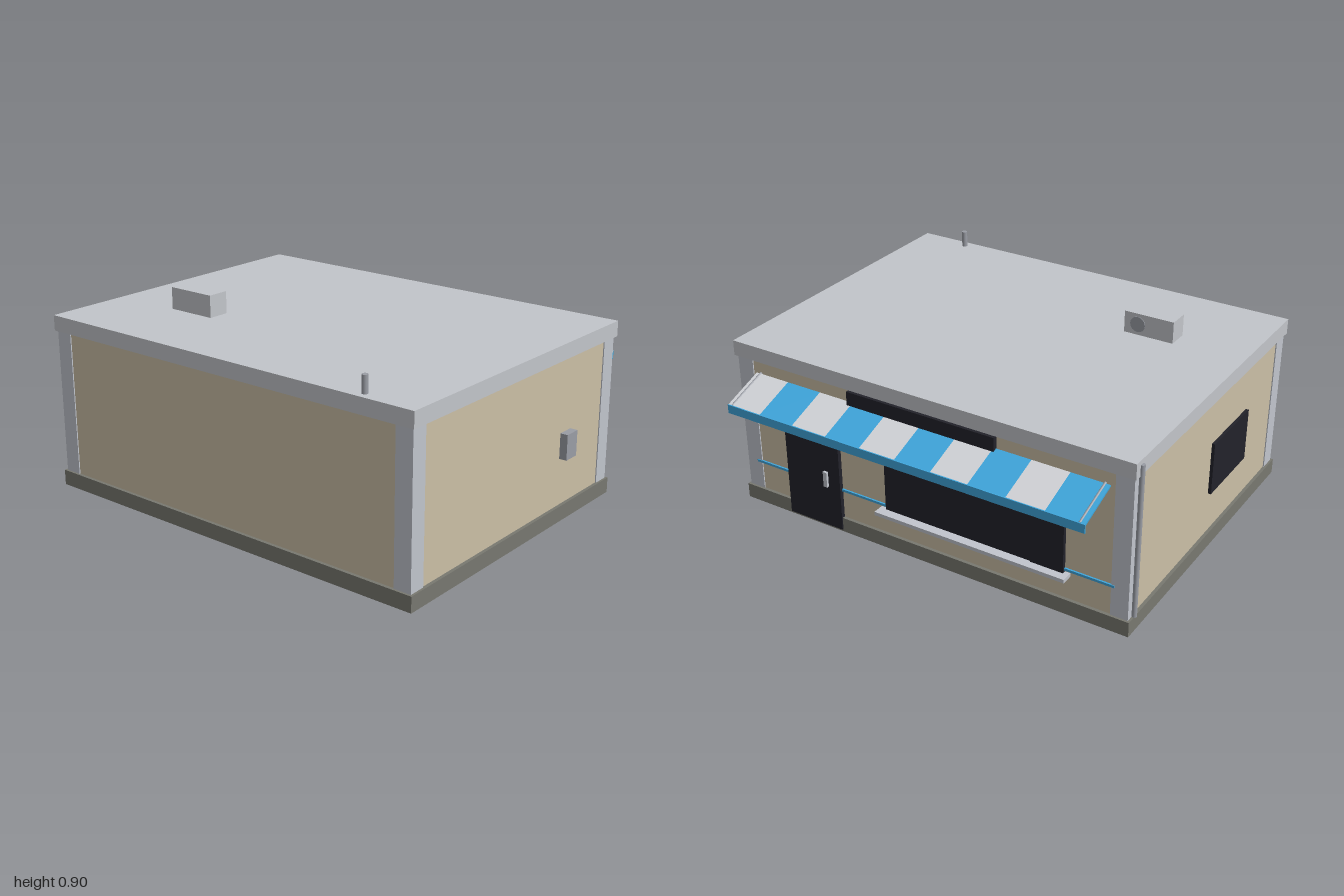
import * as THREE from 'three';

export function createModel() {
  const model = new THREE.Group();
  model.name = 'kiosk';

  const mat = (name, color) => {
    const m = new THREE.MeshStandardMaterial({ color });
    m.name = name;
    return m;
  };
  const roofGrey = mat('roofGrey', 0xc2c5ca);
  const pillarGrey = mat('pillarGrey', 0xc1c5cd);
  const wallBeige = mat('wallBeige', 0xcbbfa6);
  const plinthGrey = mat('plinthGrey', 0x787870);
  const darkPanel = mat('darkPanel', 0x22222a);
  const blue = mat('blue', 0x3fa7dd);
  const canvasWhite = mat('canvasWhite', 0xd3d5d9);
  const metal = mat('metal', 0x9a9da5);

  const add = (name, geo, material, parent = model) => {
    const mesh = new THREE.Mesh(geo, material);
    mesh.name = name;
    parent.add(mesh);
    return mesh;
  };
  // Box given by its limits on each axis
  const box = (name, material, x0, x1, y0, y1, z0, z1, parent) => {
    const b = add(name, new THREE.BoxGeometry(x1 - x0, y1 - y0, z1 - z0), material, parent);
    b.position.set((x0 + x1) / 2, (y0 + y1) / 2, (z0 + z1) / 2);
    return b;
  };
  // Round bar between two points
  const rod = (name, material, a, b, r, parent) => {
    const from = new THREE.Vector3(...a), to = new THREE.Vector3(...b);
    const dir = to.clone().sub(from);
    const m = add(name, new THREE.CylinderGeometry(r, r, dir.length(), 16), material, parent);
    m.position.copy(from).add(to).multiplyScalar(0.5);
    m.quaternion.setFromUnitVectors(new THREE.Vector3(0, 1, 0), dir.normalize());
    return m;
  };

  // Building shell
  box('plinth', plinthGrey, -0.985, 0.975, 0, 0.07, -0.645, 0.83);
  box('walls', wallBeige, -0.97, 0.96, 0.07, 0.73, -0.63, 0.815);
  box('roof', roofGrey, -0.985, 0.975, 0.73, 0.8, -0.648, 0.83);
  for (const x of [-0.975, 0.885])
    for (const z of [-0.635, 0.742])
      box('cornerPillar', pillarGrey, x, x + 0.08, 0.07, 0.73, z, z + 0.078);

  // Rooftop unit with fan, and vent pipe
  box('roofUnit', roofGrey, -0.655, -0.42, 0.8, 0.9, 0.33, 0.43);
  rod('roofUnitFan', metal, [-0.485, 0.85, 0.331], [-0.485, 0.85, 0.327], 0.036);
  rod('ventPipe', metal, [0.72, 0.8, 0.79], [0.72, 0.875, 0.79], 0.013);

  // Side fittings: meter box, side window, downpipe
  box('meterBox', metal, 0.955, 0.995, 0.285, 0.4, -0.31, -0.23);
  box('sideWindow', darkPanel, -0.984, -0.968, 0.27, 0.515, 0.095, 0.45);
  rod('downpipe', metal, [-0.988, 0.08, -0.605], [-0.988, 0.78, -0.605], 0.011);

  // Service side: door with handle
  box('door', darkPanel, 0.43, 0.72, 0.01, 0.56, -0.65, -0.625);
  box('doorHandle', pillarGrey, 0.492, 0.512, 0.215, 0.29, -0.662, -0.649);

  // Serving window, side pane and counter
  box('servingWindow', darkPanel, -0.53, 0.19, 0.19, 0.555, -0.643, -0.625);
  box('sidePane', darkPanel, -0.685, -0.532, 0.19, 0.555, -0.648, -0.625);
  box('counter', pillarGrey, -0.71, 0.22, 0.18, 0.197, -0.685, -0.625);

  // Small lamps over door and window
  for (const x of [0.67, -0.68]) {
    rod('lampMount', darkPanel, [x, 0.535, -0.63], [x, 0.535, -0.662], 0.018);
    rod('lampHead', metal, [x, 0.535, -0.662], [x, 0.535, -0.674], 0.012);
  }

  // Blue trim line, interrupted by the openings
  for (const [a, b] of [[0.72, 0.91], [0.19, 0.43], [-0.91, -0.685]])
    box('trimLine', blue, a, b, 0.205, 0.216, -0.638, -0.628);

  // Sign board above the awning
  box('signBoard', darkPanel, -0.364, 0.36, 0.66, 0.725, -0.655, -0.625);

  // Striped awning
  const awning = new THREE.Group();
  awning.name = 'awning';
  model.add(awning);
  const x0 = -0.875, width = 0.174, rise = 0.07, run = 0.195;
  const slope = Math.atan2(rise, run);
  for (let i = 0; i < 10; i++) {
    const stripe = add('awningStripe',
      new THREE.BoxGeometry(width, 0.008, Math.hypot(rise, run)),
      i % 2 ? canvasWhite : blue, awning);
    stripe.position.set(x0 + width * (i + 0.5), 0.63, -0.732);
    stripe.rotation.x = -slope;
  }
  box('valance', blue, x0, x0 + 10 * width, 0.56, 0.6, -0.833, -0.826, awning);
  for (const x of [-0.85, 0.845])
    rod('awningArm', metal, [x, 0.668, -0.63], [x, 0.597, -0.826], 0.006, awning);

  return model;
}
